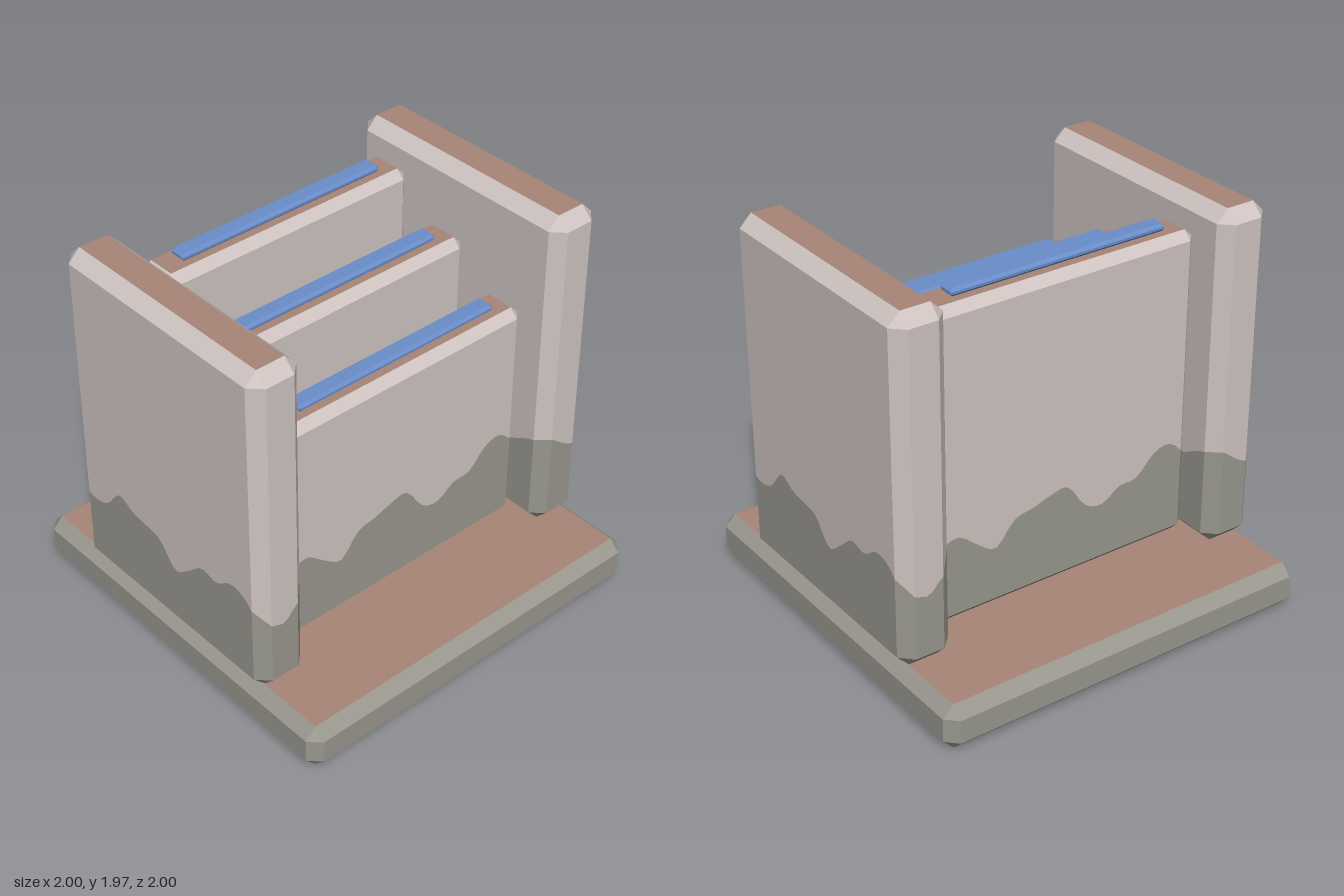
import * as THREE from 'three';

const mat = (name, color) => {
  const m = new THREE.MeshStandardMaterial({ color });
  m.name = name;
  return m;
};

// Smooth wavy waterline: evenly spaced heights over u = -range..range
function waterline(range, heights) {
  const curve = new THREE.SplineCurve(heights.map((h, i) => new THREE.Vector2(i, h)));
  return u => curve.getPoint(THREE.MathUtils.clamp((u + range) / (2 * range), 0, 1)).y;
}

// Box with every edge bevelled. Group 0: lower sides, 1: upper sides, 2: caps.
// lines: waterlines for the +z, +x, -z and -x sides, each running left to right.
function bevelBox(w, d, y0, y1, c, lines) {
  const a = w / 2 - c, b = d / 2 - c, ring = [];
  for (let f = 0; f < 4; f++) {
    const half = f % 2 ? b : a, out = f % 2 ? w / 2 : d / 2;
    const steps = lines ? Math.max(4, Math.ceil(half * 60)) : 1;
    const cos = [1, 0, -1, 0][f], sin = [0, 1, 0, -1][f];
    for (let i = 0; i <= steps; i++) {
      const u = -half + 2 * half * i / steps;
      ring.push({ x: u * cos + out * sin, z: out * cos - u * sin, h: lines ? lines[f](u) : (y0 + y1) / 2 });
    }
  }
  const inset = (p, y) => [THREE.MathUtils.clamp(p.x, -a, a), y, THREE.MathUtils.clamp(p.z, -b, b)];
  const levels = [
    p => inset(p, y0),
    p => [p.x, y0 + c, p.z],
    p => [p.x, p.h, p.z],
    p => [p.x, y1 - c, p.z],
    p => inset(p, y1),
  ];
  if (!lines) levels.splice(2, 1);
  const pos = [], geo = new THREE.BufferGeometry();
  const tri = (...pts) => {
    const [p, q, r] = pts.map(v => new THREE.Vector3(...v));
    if (q.sub(p).cross(r.sub(p)).length() > 1e-9) pts.forEach(v => pos.push(...v));
  };
  let start = 0;
  const close = group => {
    geo.addGroup(start, pos.length / 3 - start, group);
    start = pos.length / 3;
  };
  for (let k = 0; k + 1 < levels.length; k++) {
    ring.forEach((p, i) => {
      const q = ring[(i + 1) % ring.length], lo = levels[k], hi = levels[k + 1];
      tri(lo(p), lo(q), hi(q));
      tri(lo(p), hi(q), hi(p));
    });
    close(lines && k > 1 ? 1 : 0);
  }
  tri([-a, y1, b], [a, y1, b], [a, y1, -b]);
  tri([-a, y1, b], [a, y1, -b], [-a, y1, -b]);
  tri([-a, y0, b], [a, y0, -b], [a, y0, b]);
  tri([-a, y0, b], [-a, y0, -b], [a, y0, -b]);
  close(2);
  geo.setAttribute('position', new THREE.Float32BufferAttribute(pos, 3));
  geo.computeVertexNormals();
  return geo;
}

export function createModel() {
  const model = new THREE.Group();
  const stone = mat('pale stone', 0xcfc4c1);
  const moss = mat('grey moss', 0x99978e);
  const clay = mat('brown clay', 0xa78576);
  const blue = mat('blue', 0x6a8dca);

  const add = (name, geo, materials, x = 0, z = 0) => {
    const mesh = new THREE.Mesh(geo, materials);
    mesh.name = name;
    mesh.position.set(x, 0, z);
    model.add(mesh);
    return mesh;
  };

  // Base slab
  add('base', bevelBox(2, 2, 0, 0.232, 0.056), [moss, moss, clay]);

  // Side walls, the right one being the left one turned half round
  const wallLines = [
    waterline(0.074, [0.745, 0.69, 0.65]),
    waterline(0.65, [0.655, 0.628, 0.655, 0.765, 0.725, 0.712, 0.69, 0.58, 0.64, 0.72, 0.705, 0.765, 0.745, 0.65]),
    waterline(0.074, [0.62, 0.6, 0.67]),
    waterline(0.59, [0.75, 0.7, 0.63, 0.69, 0.75, 0.72, 0.64, 0.67, 0.74]),
  ];
  const wall = bevelBox(0.27, 1.31, 0.232, 1.965, 0.061, wallLines);
  add('leftWall', wall, [moss, stone, clay], 0.865);
  add('rightWall', wall, [moss, stone, clay], -0.865).rotation.y = Math.PI;

  // Three panels rising to the back, each with a blue bar on top
  const face = waterline(0.7, [0.695, 0.715, 0.64, 0.585, 0.695, 0.72, 0.75, 0.76, 0.63, 0.6, 0.66, 0.67, 0.765, 0.785, 0.7]);
  const end = waterline(0.07, [0.71, 0.68, 0.7]);
  ['front', 'middle', 'back'].forEach((place, i) => {
    const z = 0.385 * (1 - i), top = 1.462 + 0.1925 * i;
    add(place + 'Panel', bevelBox(1.416, 0.228, 0.275, top, 0.043, [face, end, face, end]), [moss, stone, clay], 0, z);
    add(place + 'Bar', bevelBox(1.154, 0.092, top + 0.004, top + 0.042, 0.013), [blue, blue, blue], 0, z);
  });

  return model;
}
